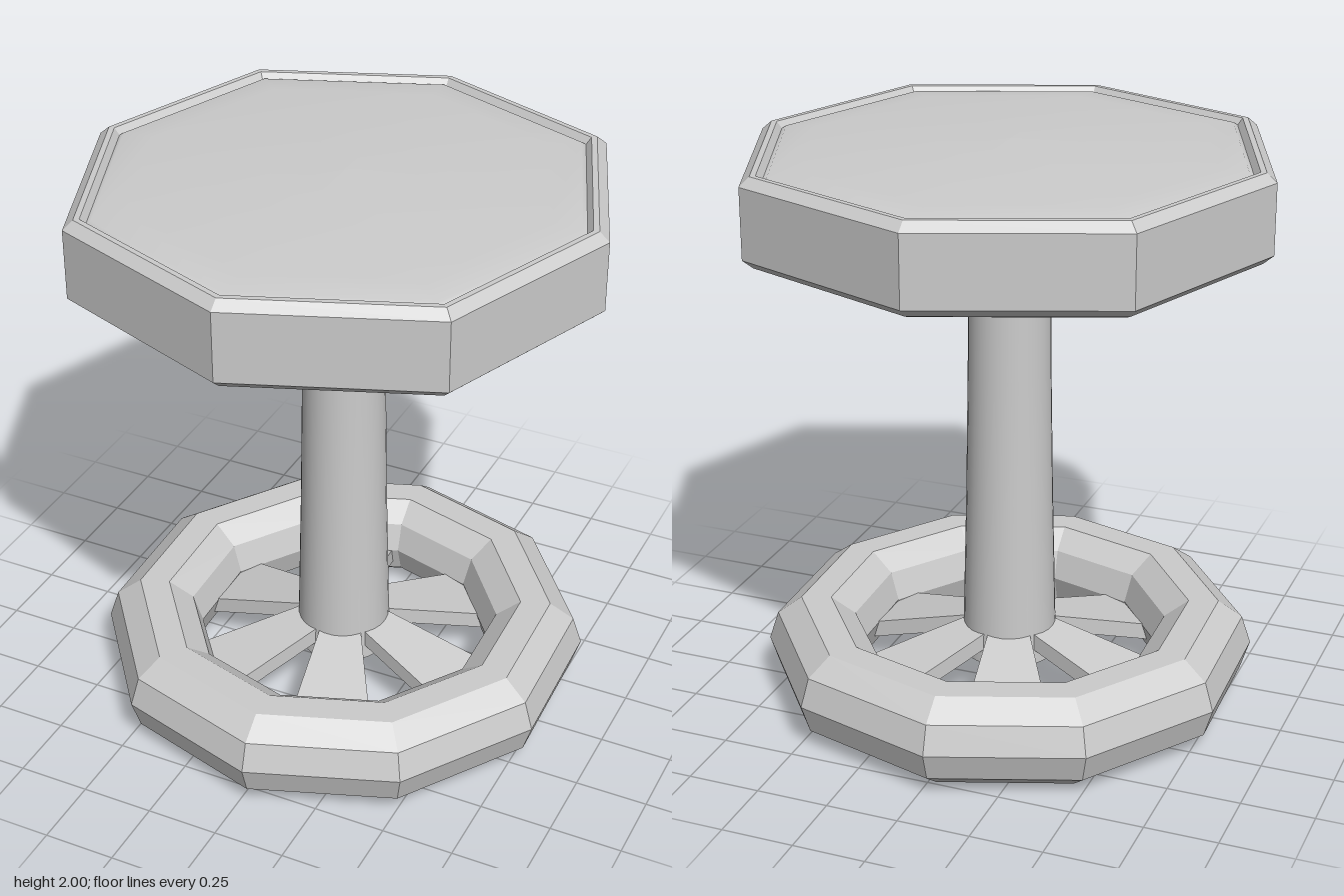
import * as THREE from 'three';

const grey = new THREE.MeshStandardMaterial({ color: 0xcccccc });
const facetedGrey = new THREE.MeshStandardMaterial({ color: 0xcccccc, flatShading: true });

function addMesh(parent, name, geometry, material) {
  const mesh = new THREE.Mesh(geometry, material);
  mesh.name = name;
  parent.add(mesh);
  return mesh;
}

function lathe(profile, sides, phiStart = 0) {
  const points = profile.map(([r, y]) => new THREE.Vector2(r, y));
  return new THREE.LatheGeometry(points, sides, phiStart);
}

// Octagonal lathe whose diagonal corners sit slightly further out
function octagon(profile) {
  const geometry = lathe(profile, 8);
  const pos = geometry.attributes.position;
  for (let i = 0; i < pos.count; i++) {
    const x = pos.getX(i), z = pos.getZ(i);
    if (Math.min(Math.abs(x), Math.abs(z)) > 0.01) {
      pos.setX(i, x * 1.025);
      pos.setZ(i, z * 1.025);
    }
  }
  return geometry;
}

// Wedge that widens and drops from the column (inner) to the ring (outer), along +z
function spokeGeometry() {
  const inner = { z: 0.12, y: 0.23, w: 0.07 };
  const outer = { z: 0.57, y: 0.11, w: 0.15 };
  const thickness = 0.06;
  const geometry = new THREE.BoxGeometry(1, 1, 1);
  const pos = geometry.attributes.position;
  for (let i = 0; i < pos.count; i++) {
    const end = pos.getZ(i) > 0 ? outer : inner;
    pos.setXYZ(i, Math.sign(pos.getX(i)) * end.w, end.y + pos.getY(i) * thickness, end.z);
  }
  geometry.computeVertexNormals();
  return geometry;
}

export function createModel() {
  const model = new THREE.Group();
  model.name = 'stool';

  // Seat: chamfered octagonal rim with a shallow domed cushion set inside
  const seat = new THREE.Group();
  seat.name = 'seat';
  model.add(seat);
  addMesh(seat, 'seatRim', octagon([
    [0, 1.66], [0.84, 1.665], [0.865, 1.675], [0.9, 1.705],
    [0.9, 1.945], [0.865, 1.975], [0.845, 1.975], [0.825, 1.95],
  ]), facetedGrey);
  addMesh(seat, 'seatCushion', octagon([
    [0.83, 1.95], [0.81, 1.964], [0.7, 1.973], [0.5, 1.984], [0.25, 1.995], [0, 2],
  ]), grey);

  // Column: gently flared towards the foot, closed underneath
  addMesh(model, 'column', lathe([
    [0.165, 0.14], [0.16, 0.35], [0.15, 0.75], [0.142, 1.2], [0.138, 1.68],
  ], 32), grey);
  const cap = addMesh(model, 'columnCap', new THREE.CircleGeometry(0.165, 32), grey);
  cap.rotation.x = Math.PI / 2;
  cap.position.y = 0.14;

  // Base ring: ten-sided ring with a ten-sided cross-section
  const ringProfile = [];
  for (let i = 0; i <= 10; i++) {
    const a = (i % 10) * Math.PI / 5;
    ringProfile.push([0.685 + 0.17 * Math.cos(a), 0.162 + 0.17 * Math.sin(a)]);
  }
  addMesh(model, 'baseRing', lathe(ringProfile, 10, THREE.MathUtils.degToRad(2)), facetedGrey);

  // Spokes joining the column to the ring
  const spokes = new THREE.Group();
  spokes.name = 'spokes';
  model.add(spokes);
  const spoke = spokeGeometry();
  for (let i = 0; i < 6; i++) {
    const mesh = addMesh(spokes, 'spoke', spoke, facetedGrey);
    mesh.rotation.y = THREE.MathUtils.degToRad(20 + 60 * i);
  }

  return model;
}
